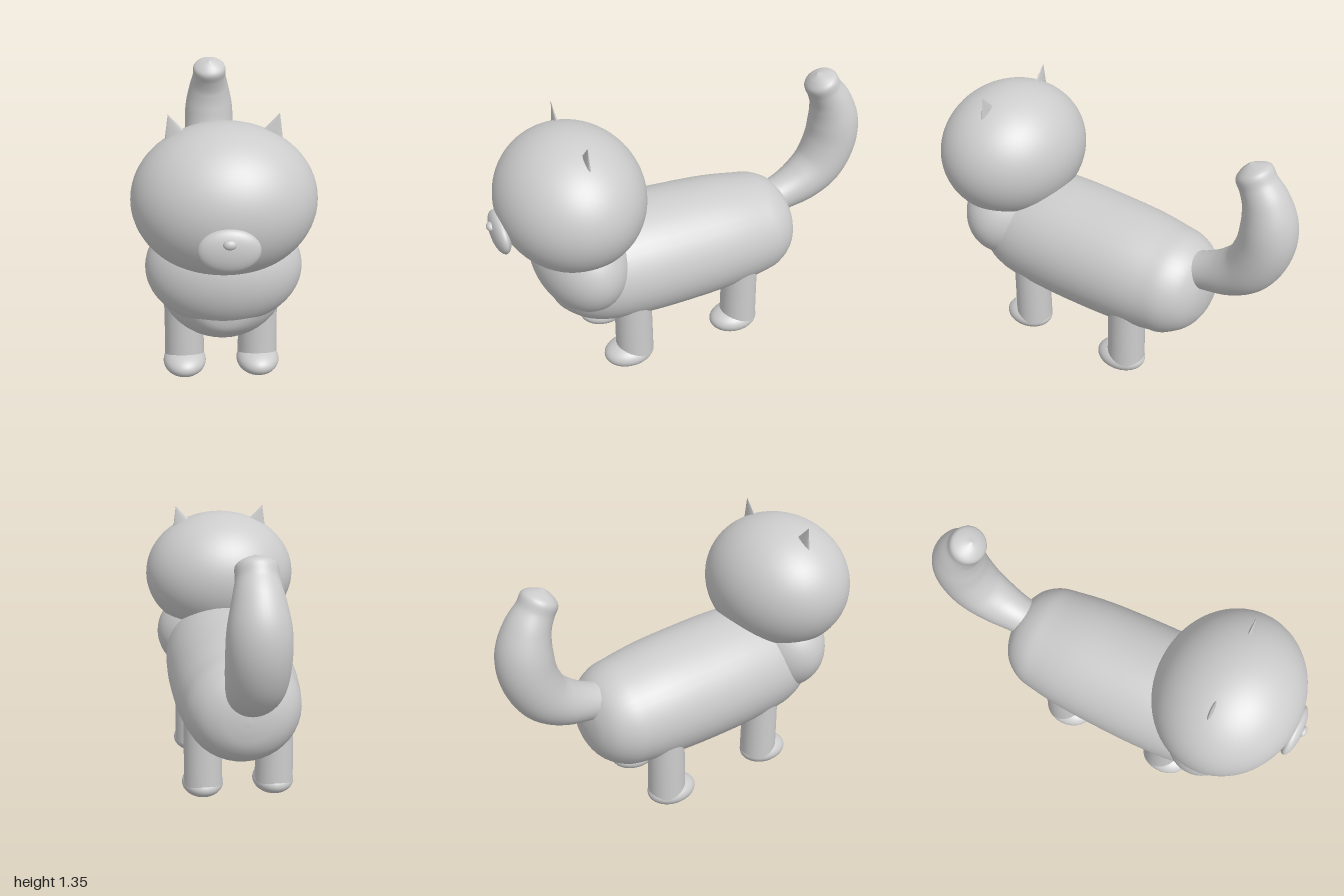
import * as THREE from 'three';

const grey = new THREE.MeshStandardMaterial({ color: 0xcccccc });
grey.name = 'plain grey';

function part(name, geometry) {
  const mesh = new THREE.Mesh(geometry, grey);
  mesh.name = name;
  return mesh;
}

function ellipsoid(name, [x, y, z], [rx, ry, rz], segments = 48) {
  const mesh = part(name, new THREE.SphereGeometry(1, segments, segments * 0.67));
  mesh.position.set(x, y, z);
  mesh.scale.set(rx, ry, rz);
  return mesh;
}

// Smooth loft through rows of [z, y, radius]; widthRatio stretches each ring in x.
function loft(rows, widthRatio, followPath, steps) {
  const sides = 40;
  const curve = new THREE.CatmullRomCurve3(rows.map(([z, y, r]) => new THREE.Vector3(r, y, z)), false, 'centripetal');
  const positions = [], index = [];
  for (let i = 0; i <= steps; i++) {
    const t = i / steps;
    const p = curve.getPoint(t);
    const d = new THREE.Vector3(0, 0, 1);
    if (followPath) d.copy(curve.getTangent(t)).setX(0).normalize();
    const up = d.clone().cross(new THREE.Vector3(1, 0, 0));
    const r = Math.max(p.x, 0.0005);
    for (let j = 0; j < sides; j++) {
      const a = (j / sides) * Math.PI * 2;
      const s = Math.sin(a) * r;
      positions.push(Math.cos(a) * r * widthRatio, p.y + up.y * s, p.z + up.z * s);
    }
  }
  for (let i = 0; i < steps; i++) {
    for (let j = 0; j < sides; j++) {
      const a = i * sides + j, b = i * sides + (j + 1) % sides;
      index.push(a, b, a + sides, b, b + sides, a + sides);
    }
  }
  const g = new THREE.BufferGeometry();
  g.setAttribute('position', new THREE.Float32BufferAttribute(positions, 3));
  g.setIndex(index);
  g.computeVertexNormals();
  return g;
}

// Flat cone leaning outwards
function ear(side) {
  const g = new THREE.ConeGeometry(0.078, 0.138, 24);
  g.scale(1, 1, 0.19);
  g.applyMatrix4(new THREE.Matrix4().makeShear(0, 0, side * 0.43, 0, 0, 0));
  const p = g.attributes.position;
  // keep the lean exact: tip offset outwards from the base
  const lean = p.getX(0);
  if (Math.abs(lean - side * 0.0297) > 0.01) {
    for (let i = 0; i < p.count; i++) p.setX(i, p.getX(i) + side * 0.43 * p.getY(i));
  }
  g.computeVertexNormals();
  const mesh = part(side > 0 ? 'leftEar' : 'rightEar', g);
  mesh.position.set(side * 0.21, 1.286, 0.57);
  return mesh;
}

export function createModel() {
  const model = new THREE.Group();
  model.name = 'cat';

  // Trunk, from rump to breast
  model.add(part('body', loft([
    [-0.597, 0.52, 0], [-0.592, 0.52, 0.065], [-0.575, 0.52, 0.135], [-0.53, 0.525, 0.205],
    [-0.45, 0.525, 0.255], [-0.35, 0.525, 0.275], [-0.2, 0.53, 0.293], [0, 0.535, 0.303],
    [0.3, 0.545, 0.305], [0.5, 0.55, 0.288], [0.6, 0.545, 0.25], [0.68, 0.53, 0.18],
    [0.72, 0.52, 0.12], [0.733, 0.52, 0.06], [0.737, 0.52, 0],
  ], 1.055, false, 70)));

  // Curled tail with a small domed tip
  model.add(part('tail', loft([
    [-0.48, 0.64, 0.09], [-0.57, 0.66, 0.094], [-0.7, 0.71, 0.114], [-0.8, 0.79, 0.128],
    [-0.86, 0.92, 0.133], [-0.868, 1.04, 0.128], [-0.84, 1.15, 0.107], [-0.795, 1.23, 0.088],
    [-0.767, 1.28, 0.084], [-0.755, 1.302, 0.055], [-0.745, 1.322, 0],
  ], 1.06, true, 60)));

  // Head and chest
  model.add(ellipsoid('head', [0, 0.98, 0.592], [0.41, 0.34, 0.354], 64));
  model.add(ellipsoid('chestRuff', [0, 0.65, 0.57], [0.355, 0.275, 0.235], 64));
  model.add(ellipsoid('muzzle', [0, 0.88, 0.944], [0.131, 0.095, 0.041]));
  model.add(ellipsoid('nose', [0, 0.921, 0.982], [0.028, 0.021, 0.018], 24));

  for (const side of [1, -1]) {
    model.add(ear(side));
    // Legs and paws
    for (const [name, legZ, pawZ] of [['front', 0.368, 0.4], ['hind', -0.238, -0.21]]) {
      const leg = part(name + 'Leg', new THREE.CylinderGeometry(0.092, 0.097, 0.4, 32));
      leg.position.set(side * 0.18, 0.27, legZ);
      model.add(leg, ellipsoid(name + 'Paw', [side * 0.18, 0.07, pawZ], [0.104, 0.066, 0.131]));
    }
  }
  return model;
}
